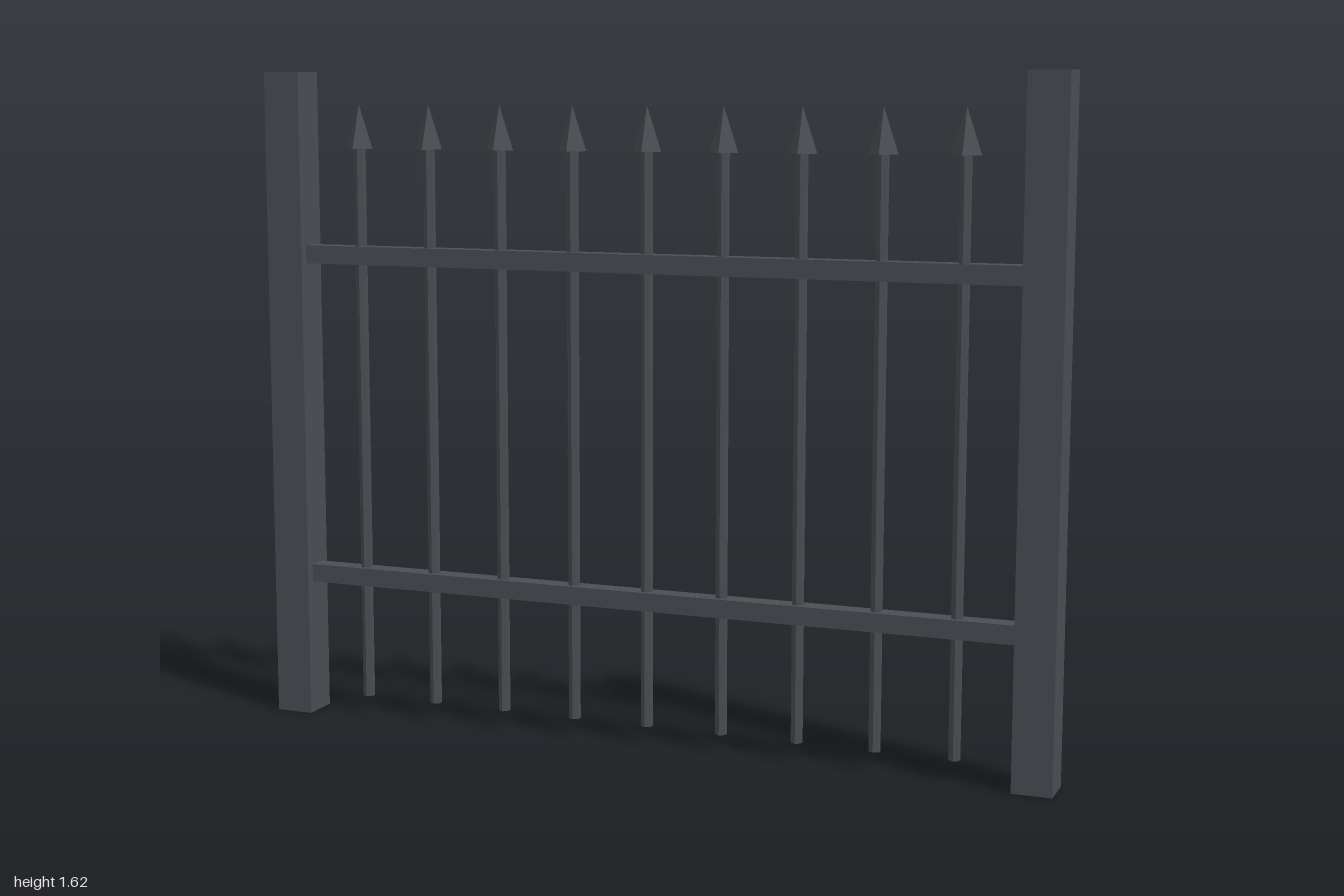
import * as THREE from 'three';

export function createModel() {
  const fence = new THREE.Group();
  fence.name = 'fencePanel';
  const iron = new THREE.MeshStandardMaterial({ color: 0x4b4d53, flatShading: true });
  iron.name = 'dark iron';

  function add(name, geometry, x, y) {
    const mesh = new THREE.Mesh(geometry, iron);
    mesh.name = name;
    mesh.position.set(x, y, 0);
    fence.add(mesh);
  }

  // Square end posts
  const post = new THREE.BoxGeometry(0.095, 1.62, 0.095);
  add('leftPost', post, 0.9525, 0.81);
  add('rightPost', post, -0.9525, 0.81);

  // Horizontal rails between the posts
  const rail = new THREE.BoxGeometry(1.82, 0.045, 0.048);
  add('upperRail', rail, 0, 1.171);
  add('lowerRail', rail, 0, 0.361);

  // Six-sided pickets with four-sided spear tips
  const picket = new THREE.CylinderGeometry(0.0145, 0.0145, 1.385, 6);
  const tip = new THREE.ConeGeometry(0.036, 0.108, 4);
  for (let i = -4; i <= 4; i++) {
    const x = i * 0.1905;
    add('picket', picket, x, 0.7425);
    add('spearTip', tip, x, 1.487);
  }

  return fence;
}
